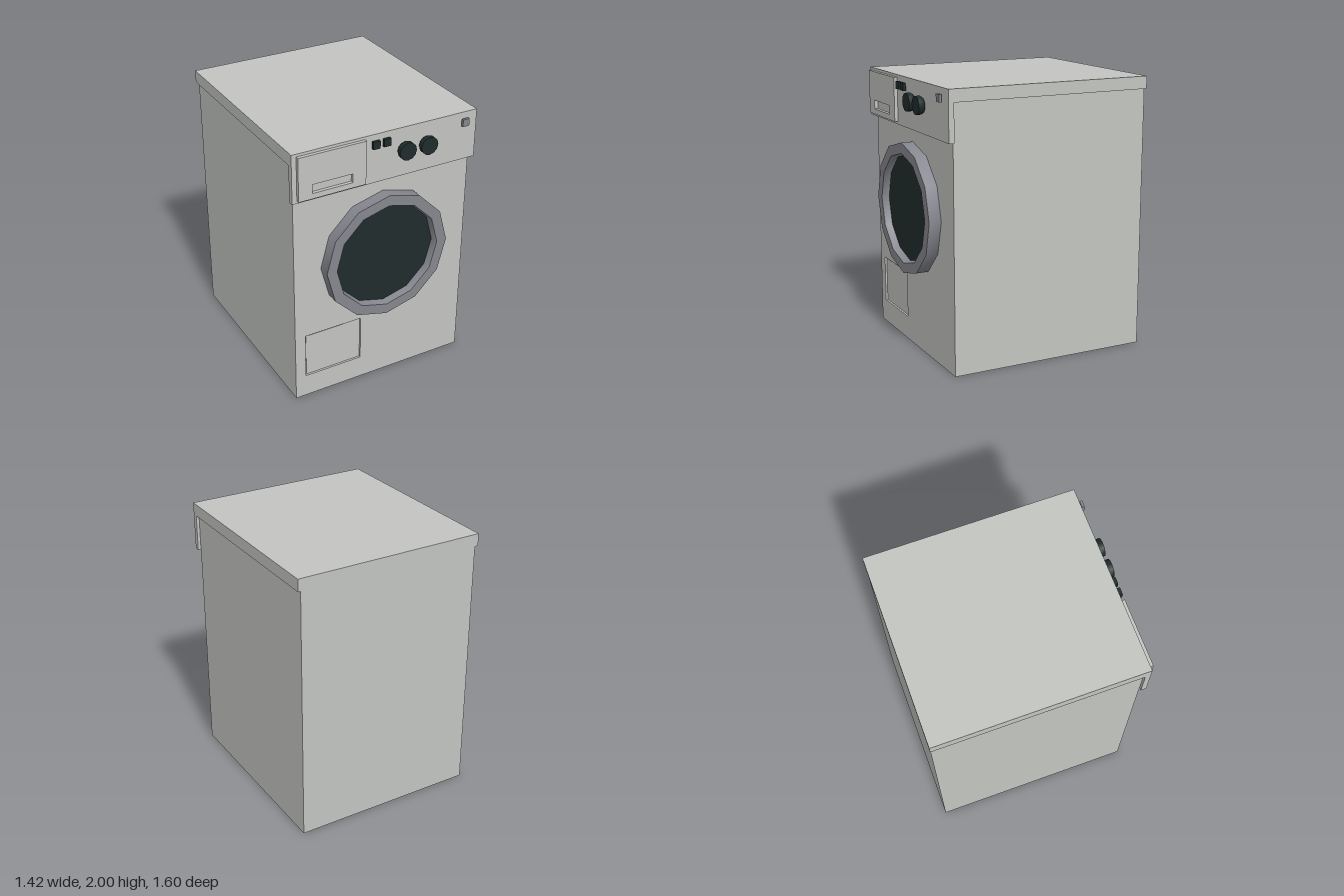
import * as THREE from 'three';
import { toCreasedNormals } from 'three/addons/utils/BufferGeometryUtils.js';

const material = (name, color) => {
  const m = new THREE.MeshStandardMaterial({ color });
  m.name = name;
  return m;
};

// Rectangle outline given by its left, right, bottom and top edges
function rect(Type, l, r, b, t) {
  const p = new Type();
  p.moveTo(l, b);
  p.lineTo(r, b);
  p.lineTo(r, t);
  p.lineTo(l, t);
  p.closePath();
  return p;
}

// Plate facing +z with one rectangular opening
function plateWithHole(outer, hole, back, front) {
  const shape = rect(THREE.Shape, ...outer);
  shape.holes.push(rect(THREE.Path, ...hole));
  const geo = new THREE.ExtrudeGeometry(shape, { depth: front - back, bevelEnabled: false });
  return geo.translate(0, 0, back);
}

function boxBetween(l, r, b, t, back, front) {
  return new THREE.BoxGeometry(r - l, t - b, front - back)
    .translate((l + r) / 2, (b + t) / 2, (back + front) / 2);
}

// Twelve-sided turned part with its axis along z; points are [radius, z]
function turned(points, x, y) {
  const geo = new THREE.LatheGeometry(points.map(([r, z]) => new THREE.Vector2(r, z)), 12);
  return toCreasedNormals(geo.rotateX(Math.PI / 2), 0.6).translate(x, y, 0);
}

export function createModel() {
  const model = new THREE.Group();
  model.name = 'washingMachine';
  const casing = material('casing grey', 0xc3c5c1);
  const metal = material('metal grey', 0x86878f);
  const dark = material('dark glass', 0x202c2c);
  // Inner rim is open, so it shows from both sides
  metal.side = THREE.DoubleSide;

  const add = (name, geo, mat) => {
    const mesh = new THREE.Mesh(geo, mat);
    mesh.name = name;
    model.add(mesh);
  };

  // Cabinet, with a front sheet that leaves a shallow filter hatch recess
  add('cabinet', boxBetween(-0.69, 0.69, 0, 1.92, -0.795, 0.685), casing);
  add('frontSheet', plateWithHole([-0.69, 0.69, 0, 1.92], [-0.61, -0.16, 0.175, 0.525], 0.685, 0.70), casing);
  add('filterHatch', boxBetween(-0.60, -0.165, 0.185, 0.515, 0.68, 0.689), casing);

  // Lid and control panel as one L-shaped profile in (z, y)
  const profile = new THREE.Shape([
    [-0.80, 1.91], [0.70, 1.91], [0.70, 1.64], [0.74, 1.64], [0.74, 2], [-0.80, 2],
  ].map(([z, y]) => new THREE.Vector2(z, y)));
  const lid = new THREE.ExtrudeGeometry(profile, { depth: 1.424, bevelEnabled: false });
  add('lidAndControlPanel', lid.translate(0, 0, -0.712).rotateY(-Math.PI / 2), casing);

  // Detergent drawer with a grip recess
  add('detergentDrawer', plateWithHole([-0.677, -0.173, 1.66, 1.98], [-0.575, -0.273, 1.70, 1.765], 0.74, 0.765), casing);

  // Buttons and power light
  for (const x of [-0.098, -0.015]) {
    add('button', boxBetween(x - 0.027, x + 0.027, 1.905, 1.96, 0.75, 0.772), dark);
  }
  add('powerLight', boxBetween(0.582, 0.633, 1.905, 1.958, 0.753, 0.772), metal);

  // Dials
  for (const x of [0.13, 0.30]) {
    add('dial', turned([[0, 0.752], [0.056, 0.752], [0.066, 0.768], [0.066, 0.80], [0, 0.80]], x, 1.843), dark);
  }

  // Door ring with a recessed glass
  add('doorRing', turned([[0.483, 0.70], [0.483, 0.79], [0.405, 0.79], [0.393, 0.735]], 0, 1.055), metal);
  add('doorGlass', turned([[0.394, 0.70], [0.394, 0.737], [0, 0.737]], 0, 1.055), dark);

  return model;
}
